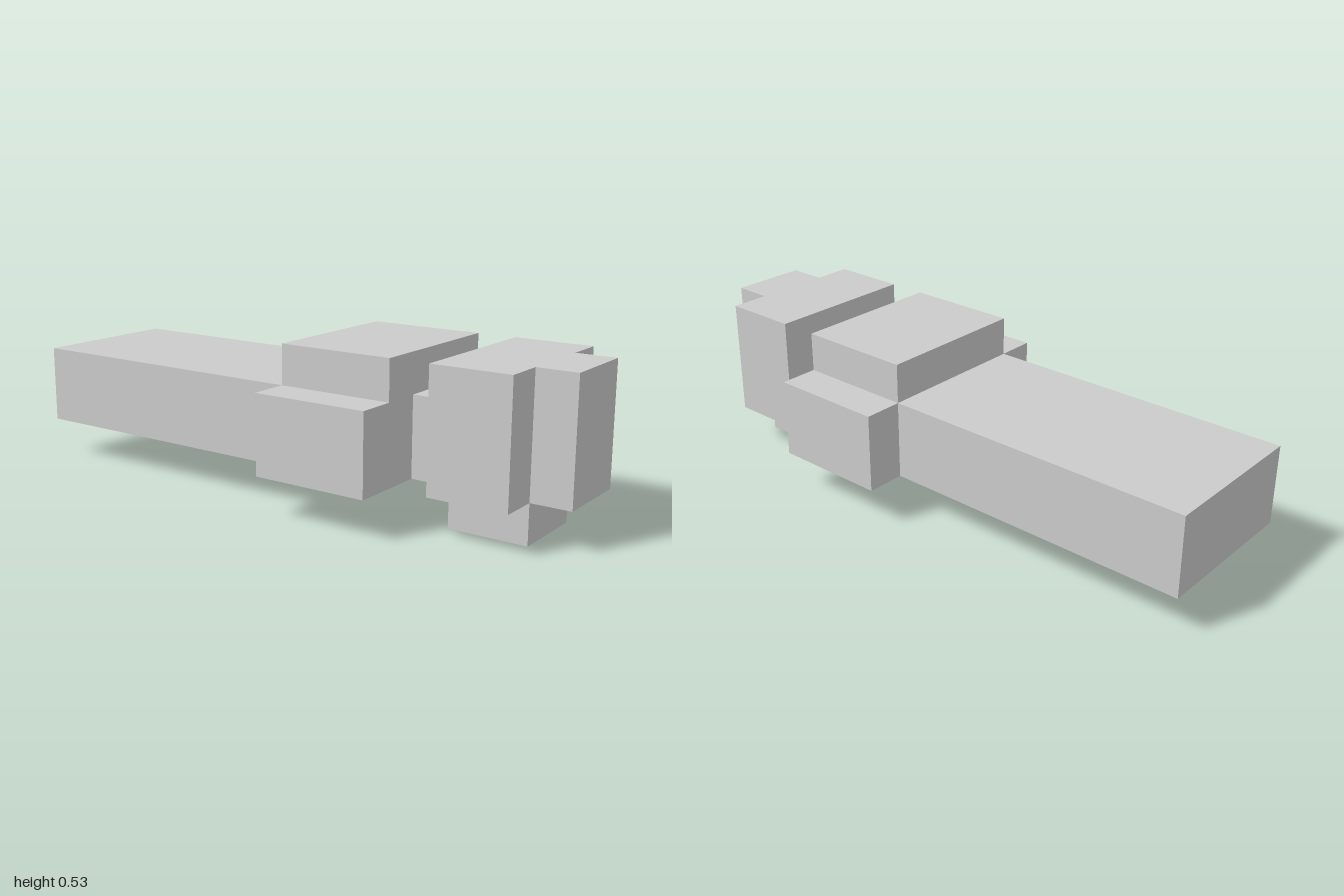
import * as THREE from 'three';

// One grid unit: the model is 15 units long
const U = 2 / 15;

export function createModel() {
  const model = new THREE.Group();
  const material = new THREE.MeshStandardMaterial({ color: 0xcccccc, flatShading: true });

  // Box given by its extents in grid units
  function block(name, [x0, x1], [y0, y1], [z0, z1]) {
    const geometry = new THREE.BoxGeometry((x1 - x0) * U, (y1 - y0) * U, (z1 - z0) * U);
    const mesh = new THREE.Mesh(geometry, material);
    mesh.name = name;
    mesh.position.set((x0 + x1) / 2 * U, (y0 + y1) / 2 * U, (z0 + z1) / 2 * U);
    model.add(mesh);
  }

  // Long body with a raised, widened section behind the neck
  block('body', [-2, 2], [1, 3], [-7.5, 3.5]);
  block('raisedTop', [-2, 2], [3, 4], [0.5, 3.5]);
  block('leftSideBlock', [2, 3], [1, 3], [0.5, 3.5]);
  block('rightSideBlock', [-3, -2], [1, 3], [0.5, 3.5]);

  // Neck and head
  block('neck', [-1, 1], [1, 3], [3.5, 4.5]);
  block('head', [-2, 2], [1, 4], [4.5, 6.5]);
  block('snout', [-1, 1], [1, 4], [6.5, 7.5]);
  block('foot', [-1, 1], [0, 1], [4.5, 6.5]);

  return model;
}
